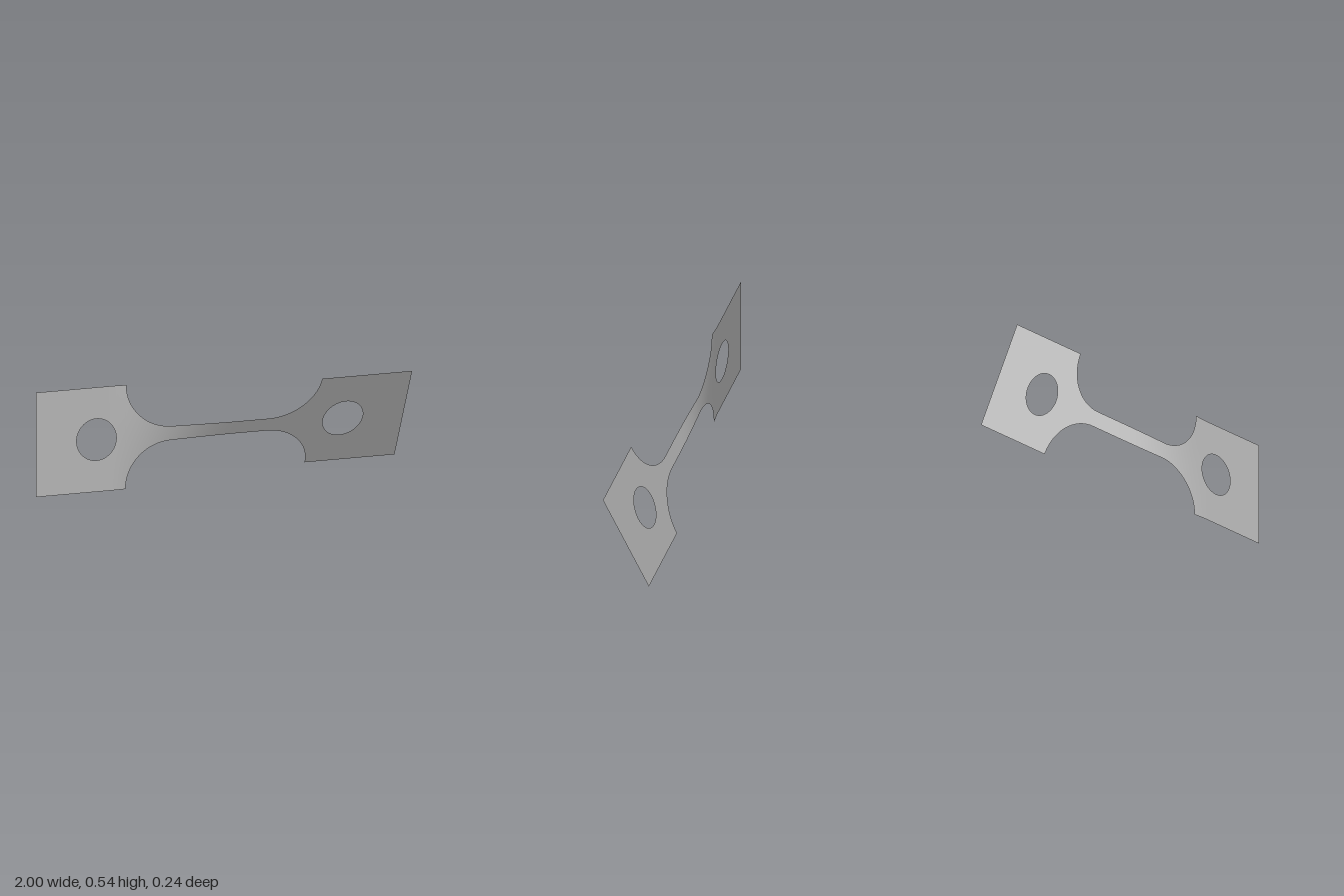
import * as THREE from 'three';

const MID_Y = 0.271;              // height of the long axis
const GRIP_X = 0.51;              // inner edge of each grip
const HALF_GRIP = 0.271, HALF_NECK = 0.039;
const HOLE_X = 0.67, HOLE_R = 0.108;
const FILLET_X = 0.25, FILLET_Y = HALF_GRIP - HALF_NECK;
const TWIST = THREE.MathUtils.degToRad(26.6);

// Twist angle eases in along the left part of the neck.
const twistAt = (x) => TWIST * THREE.MathUtils.smoothstep(x, -0.6, 0.1);

// Half width of the bar: square grips, elliptical fillets, narrow neck.
function halfWidth(x) {
  const a = Math.abs(x), u = (a - (GRIP_X - FILLET_X)) / FILLET_X;
  if (u <= 0) return HALF_NECK;
  return HALF_GRIP - FILLET_Y * Math.sqrt(Math.max(0, 1 - u * u));
}

// Half height of the round hole at x.
const holeHalf = (x) => Math.sqrt(Math.max(0, HOLE_R ** 2 - (Math.abs(x) - HOLE_X) ** 2));

// Twisted sheet between a lower and an upper edge, from x0 to x1.
function band(x0, x1, lower, upper, steps, ease = (t) => t) {
  const rows = 4, positions = [], index = [];
  for (let i = 0; i <= steps; i++) {
    const x = x0 + (x1 - x0) * ease(i / steps), angle = twistAt(x);
    for (let j = 0; j <= rows; j++) {
      const v = THREE.MathUtils.lerp(lower(x), upper(x), j / rows);
      positions.push(x, MID_Y + v * Math.cos(angle), v * Math.sin(angle));
      if (i < steps && j < rows) {
        const a = i * (rows + 1) + j, b = a + rows + 1;
        index.push(a, b, b + 1, a, b + 1, a + 1);
      }
    }
  }
  const geometry = new THREE.BufferGeometry();
  geometry.setAttribute('position', new THREE.Float32BufferAttribute(positions, 3));
  geometry.setIndex(index);
  geometry.computeVertexNormals();
  return geometry;
}

export function createModel() {
  const model = new THREE.Group();
  model.name = 'twistedTestBar';
  const steel = new THREE.MeshStandardMaterial({ color: 0xc0c0c0, side: THREE.DoubleSide });
  steel.name = 'grey steel';

  const add = (parent, name, geometry) => {
    const mesh = new THREE.Mesh(geometry, steel);
    mesh.name = name;
    parent.add(mesh);
  };
  const cosine = (t) => (1 - Math.cos(Math.PI * t)) / 2;
  const top = () => HALF_GRIP, bottom = () => -HALF_GRIP;

  // Neck with its fillets; steps crowd towards the steep fillet ends
  add(model, 'neck', band(-GRIP_X, GRIP_X, (x) => -halfWidth(x), halfWidth, 120, cosine));

  // Grips: plain sheet either side of the hole, split sheet above and below it
  for (const side of [-1, 1]) {
    const grip = new THREE.Group();
    grip.name = side < 0 ? 'rightGrip' : 'leftGrip';
    const start = side < 0 ? -1 : GRIP_X, end = side < 0 ? -GRIP_X : 1;
    const h0 = side * HOLE_X - HOLE_R, h1 = side * HOLE_X + HOLE_R;
    add(grip, 'gripStart', band(start, h0, bottom, top, 8));
    add(grip, 'aboveHole', band(h0, h1, holeHalf, top, 32, cosine));
    add(grip, 'belowHole', band(h0, h1, bottom, (x) => -holeHalf(x), 32, cosine));
    add(grip, 'gripEnd', band(h1, end, bottom, top, 8));
    model.add(grip);
  }
  return model;
}
